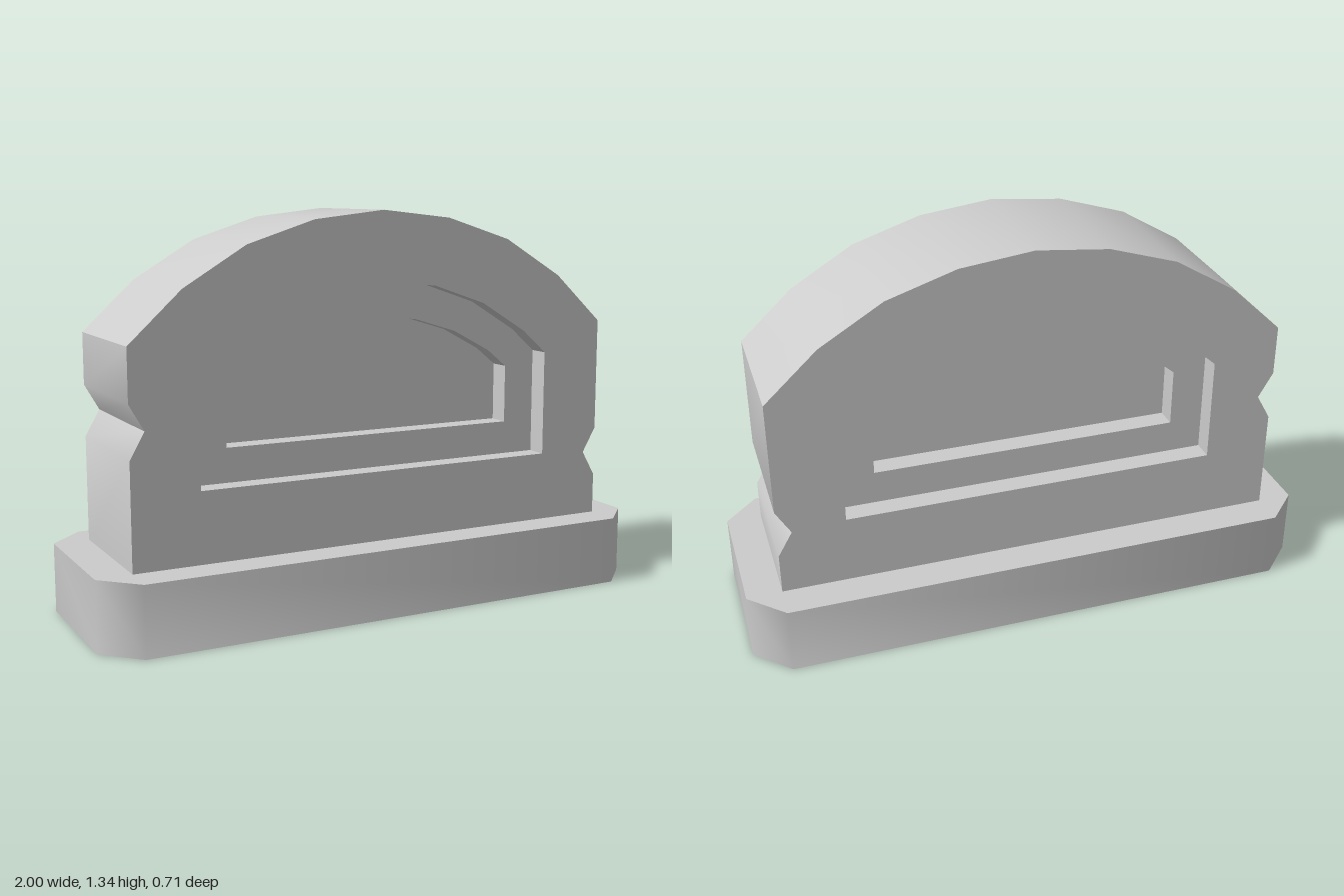
import * as THREE from 'three';
import { toCreasedNormals } from 'three/addons/utils/BufferGeometryUtils.js';

const material = new THREE.MeshStandardMaterial({ color: 0xcccccc });
const toPoints = (list) => list.map(([x, y]) => new THREE.Vector2(x, y));

// Mirror a right half, listed from bottom corner up to the crown, into a full arch
function arch(half) {
  const left = half.slice(0, -1).reverse().map(([x, y]) => [-x, y]);
  return [...half, ...left];
}

// Extrude an outline, centred on its own depth
function slab(outline, depth, hole, crease) {
  const shape = new THREE.Shape(toPoints(outline));
  if (hole) shape.holes.push(new THREE.Path(toPoints(hole)));
  const geometry = new THREE.ExtrudeGeometry(shape, { depth, bevelEnabled: false });
  geometry.translate(0, 0, -depth / 2);
  return toCreasedNormals(geometry, crease);
}

function addPart(group, name, geometry) {
  const mesh = new THREE.Mesh(geometry, material);
  mesh.name = name;
  group.add(mesh);
}

export function createModel() {
  const group = new THREE.Group();
  group.name = 'archedStone';

  const baseTop = 0.236, thickness = 0.467, step = 0.073;

  // Plinth with chamfered corners
  const X = 1, Z = 0.353, c = 0.117;
  const plan = [
    [X, -Z + c], [X, Z - c], [X - c, Z], [-X + c, Z],
    [-X, Z - c], [-X, -Z + c], [-X + c, -Z], [X - c, -Z],
  ];
  const plinth = slab(plan, baseTop, null, 1.0);
  plinth.rotateX(-Math.PI / 2).translate(0, baseTop / 2, 0);
  addPart(group, 'plinth', plinth);

  // Arched body with one chipped notch on each side, at different heights
  const w = 0.88;
  const crown = [[w, 0.943], [0.7, 1.11], [0.485, 1.24], [0.25, 1.315], [0, 1.343]];
  const body = [
    [w, baseTop], [w, 0.378], [w - 0.05, 0.464], [w, 0.55],
    ...arch(crown),
    [-w, 0.767], [-w + 0.05, 0.68], [-w, 0.592], [-w, baseTop],
  ];

  // Two nested arched recesses, the same on front and back
  const outer = arch([[0.65, 0.475], [0.65, 0.84], [0.56, 0.92], [0.39, 1.024], [0.198, 1.09], [0, 1.11]]);
  const inner = arch([[0.533, 0.59], [0.533, 0.79], [0.46, 0.85], [0.32, 0.925], [0.163, 0.973], [0, 0.99]]);

  addPart(group, 'body', slab(body, thickness, outer, 0.75));
  addPart(group, 'recessLedge', slab(outer, thickness - 2 * step, inner, 0.75));
  addPart(group, 'recessPanel', slab(inner, thickness - 4 * step, null, 0.75));

  return group;
}
